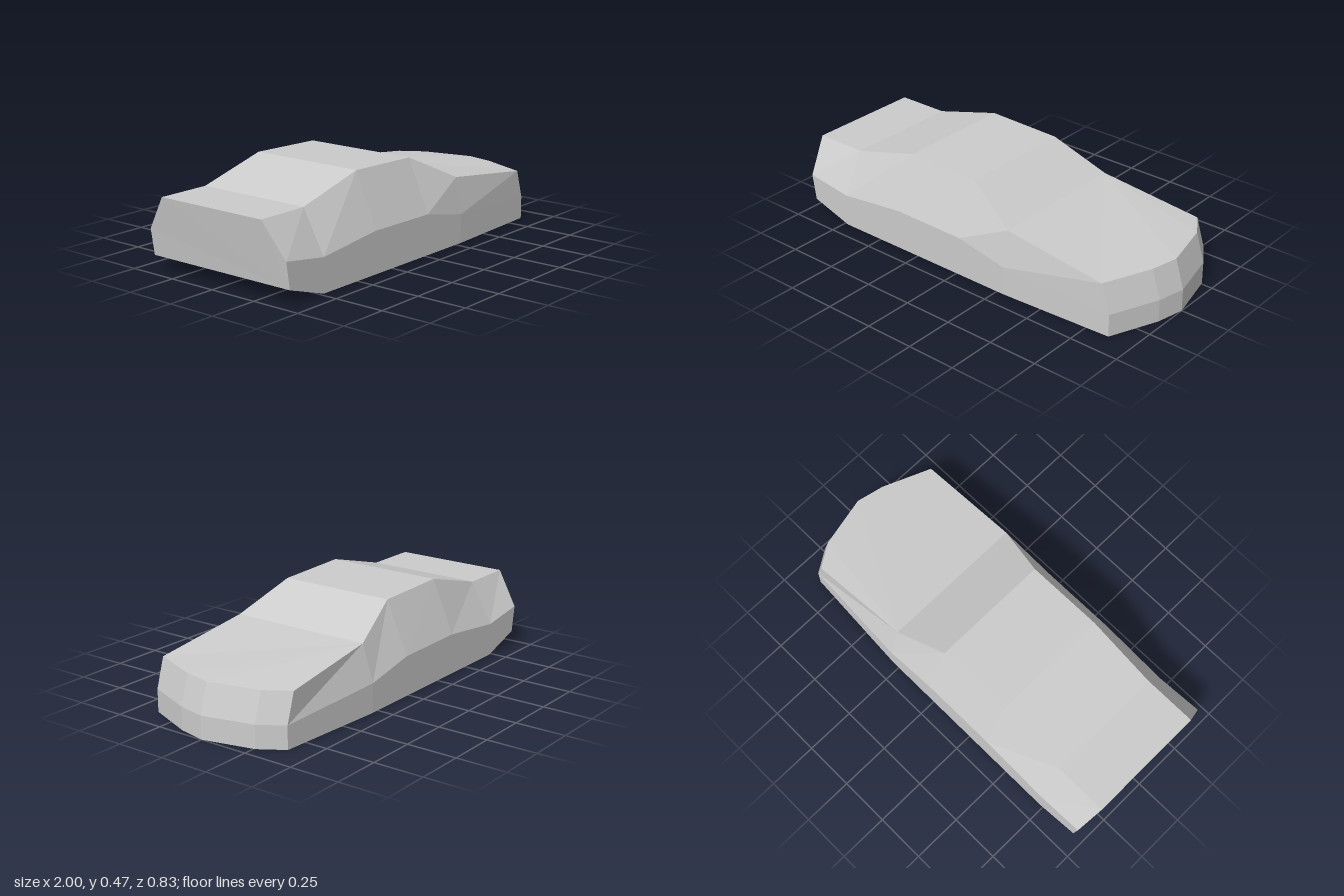
import * as THREE from 'three';

// Cross-sections from tail to cowl:
// [lower x, lower y, belt x, belt y, top x, top y, top z on +z side, top z on -z side]
const HALF_WIDTH = 0.413;
const STATIONS = [
  [-0.95, 0.07, -0.97, 0.2, -1, 0.37, 0.3, -0.3],
  [-0.73, 0, -0.73, 0.165, -0.73, 0.37, 0.3, -0.3],
  [-0.37, 0, -0.37, 0.205, -0.37, 0.468, 0.3, -0.3],
  [0.02, 0, 0.02, 0.2, 0.02, 0.458, 0.3, -0.3],
  [0.29, 0, 0.29, 0.145, 0.29, 0.325, 0.38, -0.355],
];
// Plan outline of the nose, [x, z] from the +z corner to the -z corner
const NOSE = [[0.87, 0.382], [0.97, 0.14], [1, 0], [0.94, -0.257], [0.863, -0.376]];

// Flat-shaded mesh from a list of convex faces
function facetMesh(name, faces) {
  const points = [];
  for (const f of faces)
    for (let i = 1; i < f.length - 1; i++) points.push(f[0], f[i], f[i + 1]);
  const geometry = new THREE.BufferGeometry().setFromPoints(points);
  geometry.computeVertexNormals();
  const mesh = new THREE.Mesh(
    geometry,
    new THREE.MeshStandardMaterial({ color: 0xcccccc, flatShading: true })
  );
  mesh.name = name;
  return mesh;
}

export function createModel() {
  const V = (x, y, z) => new THREE.Vector3(x, y, z);

  // Each ring: sill, belt, top on +z, then top, belt, sill on -z
  const rings = STATIONS.map(([lx, ly, bx, by, tx, ty, zl, zr]) => [
    V(lx, ly, HALF_WIDTH), V(bx, by, HALF_WIDTH), V(tx, ty, zl),
    V(tx, ty, zr), V(bx, by, -HALF_WIDTH), V(lx, ly, -HALF_WIDTH),
  ]);
  // Nose columns: sill, belt, leaning top edge
  const nose = NOSE.map(([x, z]) => [V(x, 0, z), V(x, 0.113, z), V(x - 0.045, 0.258, z)]);
  const first = nose[0], last = nose[nose.length - 1];
  rings.push([...first, ...[...last].reverse()]);

  const sides = [], roof = [], floor = [], front = [], hood = [];
  const strips = [sides, sides, roof, sides, sides, floor];
  for (let i = 0; i < rings.length - 1; i++) {
    const a = rings[i], b = rings[i + 1];
    strips.forEach((faces, j) => {
      if (faces === roof && i === rings.length - 2) return; // hood is fanned below
      const k = (j + 1) % 6;
      faces.push([a[j], b[j], b[k], a[k]]);
    });
  }

  // Nose panels, hood fan and the curved end of the floor
  const cowl = rings[STATIONS.length - 1];
  hood.push([cowl[2], first[2], cowl[3]]);
  for (let k = 0; k < nose.length - 1; k++) {
    const a = nose[k], b = nose[k + 1];
    for (let j = 0; j < 2; j++) front.push([a[j], b[j], b[j + 1], a[j + 1]]);
    hood.push([cowl[3], a[2], b[2]]);
    if (k > 0) floor.push([first[0], b[0], a[0]]);
  }

  const model = new THREE.Group();
  model.name = 'carBody';
  model.add(
    facetMesh('bodySides', sides),
    facetMesh('roofAndGlass', roof),
    facetMesh('hood', hood),
    facetMesh('nosePanels', front),
    facetMesh('tailPanel', [rings[0]]),
    facetMesh('floor', floor)
  );
  return model;
}
